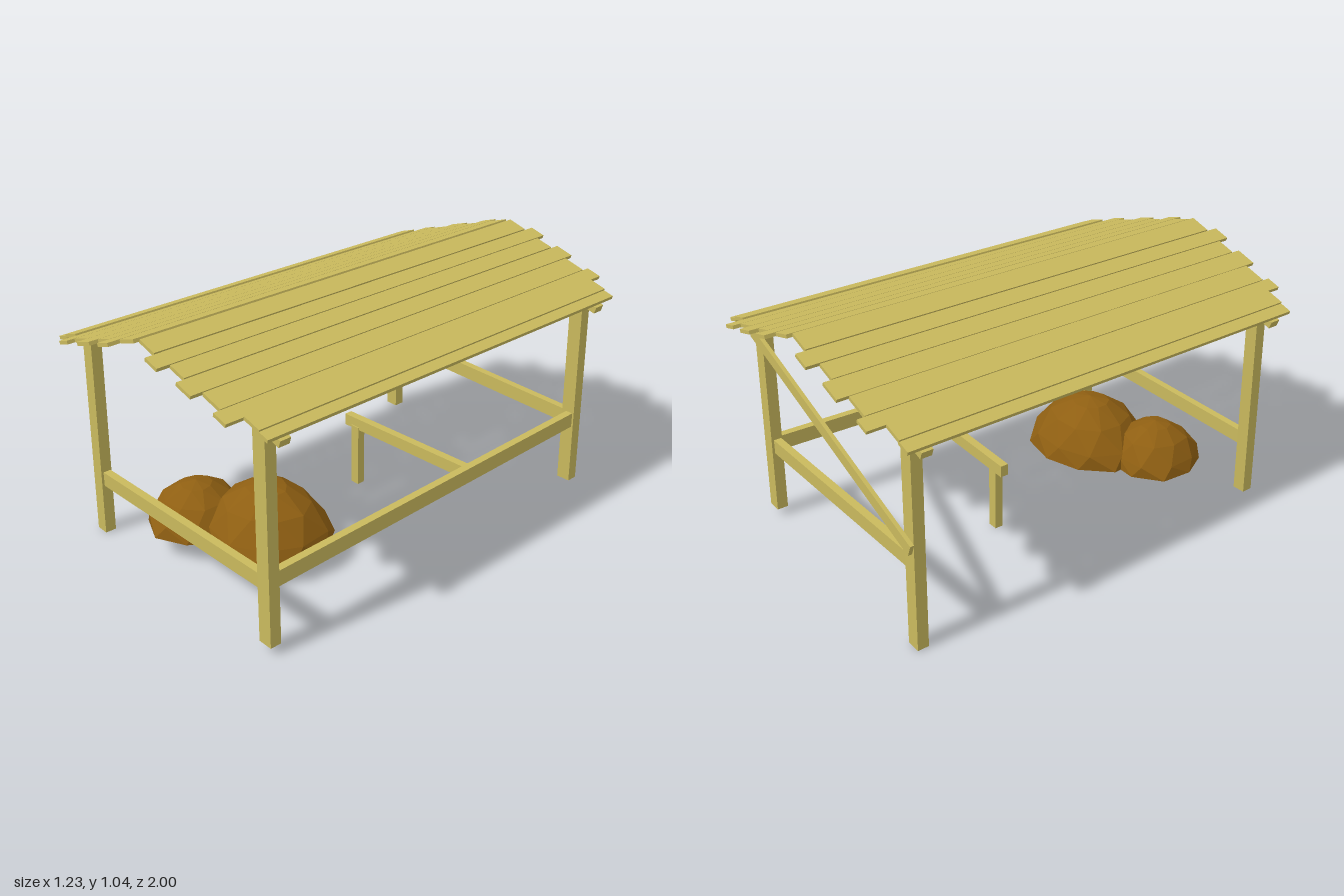
import * as THREE from 'three';

const wood = new THREE.MeshStandardMaterial({ color: 0xc9b95d, flatShading: true });
const rock = new THREE.MeshStandardMaterial({ color: 0x8f5f12, flatShading: true });

export function createModel() {
  const model = new THREE.Group();

  function add(name, geometry, material = wood) {
    const mesh = new THREE.Mesh(geometry, material);
    mesh.name = name;
    model.add(mesh);
    return mesh;
  }

  // Horizontal or sloping timber between two points
  function beam(name, a, b, width, height) {
    const from = new THREE.Vector3(...a), to = new THREE.Vector3(...b);
    const mesh = add(name, new THREE.BoxGeometry(width, height, from.distanceTo(to)));
    mesh.position.copy(from).lerp(to, 0.5);
    mesh.lookAt(to);
  }

  // Upright timber leaning slightly from foot to head
  function post(name, foot, head, width, depth) {
    const from = new THREE.Vector3(...foot), to = new THREE.Vector3(...head);
    const mesh = add(name, new THREE.BoxGeometry(width, from.distanceTo(to), depth));
    mesh.position.copy(from).lerp(to, 0.5);
    mesh.quaternion.setFromUnitVectors(new THREE.Vector3(0, 1, 0), to.sub(from).normalize());
  }

  // Corner posts
  post('frontRightPost', [-0.518, 0.003, 0.835], [-0.506, 0.84, 0.822], 0.055, 0.046);
  post('backRightPost', [-0.535, 0.003, -0.828], [-0.525, 0.835, -0.815], 0.058, 0.046);
  post('frontLeftPost', [0.53, 0.035, 0.835], [0.518, 0.868, 0.822], 0.062, 0.046);
  post('backLeftPost', [0.518, 0.035, -0.828], [0.512, 0.868, -0.815], 0.06, 0.046);

  // Rails and brace
  beam('frontRail', [-0.51, 0.249, 0.828], [0.515, 0.276, 0.828], 0.032, 0.061);
  beam('backRail', [-0.525, 0.35, -0.82], [0.515, 0.33, -0.82], 0.032, 0.061);
  beam('sideRail', [0.522, 0.285, 0.825], [0.522, 0.327, -0.815], 0.032, 0.063);
  beam('backBrace', [-0.555, 0.428, -0.853], [0.53, 0.832, -0.853], 0.016, 0.048);

  // Inner rail and its short leg
  beam('innerRail', [-0.163, 0.29, -0.172], [0.515, 0.315, -0.172], 0.034, 0.05);
  post('shortLeg', [-0.104, 0.002, -0.172], [-0.099, 0.28, -0.168], 0.042, 0.035);

  // Gable rafters
  const chevron = new THREE.Shape([
    [-0.615, 0.828], [-0.605, 0.8], [0, 1.0], [0.603, 0.833], [0.612, 0.86], [0, 1.03],
  ].map(([x, y]) => new THREE.Vector2(x, y)));
  for (const side of [1, -1]) {
    const geometry = new THREE.ExtrudeGeometry(chevron, { depth: 0.045, bevelEnabled: false });
    geometry.translate(0, 0, side * 0.81 - 0.0225);
    add(side > 0 ? 'frontRafter' : 'backRafter', geometry);
  }

  // Roof planks: x start, x end, back z, front z, lift
  const planks = [
    [-0.607, -0.555, -0.88, 0.9, 0], [-0.56, -0.485, -0.88, 0.9, 0.007],
    [-0.48, -0.423, -0.95, 0.97, 0], [-0.42, -0.326, -0.92, 0.94, 0],
    [-0.324, -0.239, -0.965, 0.985, 0], [-0.236, -0.16, -0.93, 0.95, 0],
    [-0.156, -0.088, -0.98, 1, 0], [-0.083, 0.003, -0.94, 0.955, 0],
    [0.008, 0.09, -0.96, 0.935, 0], [0.096, 0.161, -1, 0.975, 0],
    [0.165, 0.24, -0.955, 0.925, 0], [0.245, 0.322, -0.99, 0.96, 0],
    [0.326, 0.417, -0.945, 0.915, 0], [0.42, 0.482, -0.975, 0.945, 0],
    [0.486, 0.56, -0.905, 0.875, 0.007], [0.557, 0.602, -0.905, 0.875, 0],
  ];
  for (const [x0, x1, z0, z1, lift] of planks) {
    const x = (x0 + x1) / 2;
    const slope = x < 0 ? 0.328 : -0.278;
    const angle = Math.atan(slope);
    const mesh = add('roofPlank', new THREE.BoxGeometry((x1 - x0) / Math.cos(angle), 0.014, z1 - z0));
    mesh.position.set(x, 1.037 + slope * x + lift, (z0 + z1) / 2);
    mesh.rotation.z = angle;
  }

  // Faceted, flat-bottomed mounds
  function mound(name, [x, z], [rx, height, rz], sides, phase) {
    const profile = [[0, 0], [1, 0], [0.93, 0.28], [0.68, 0.66], [0.32, 0.92], [0, 1]];
    const geometry = new THREE.LatheGeometry(profile.map(([r, y]) => new THREE.Vector2(r, y)), sides);
    const p = geometry.attributes.position;
    for (let i = 0; i < p.count; i++) {
      const px = p.getX(i), py = p.getY(i), pz = p.getZ(i);
      const angle = Math.atan2(px, pz);
      const twist = py * 0.7;
      const bump = 1 + 0.04 * Math.sin(3 * angle + phase + py * 5) * (py < 1 ? 1 : 0);
      const r = Math.hypot(px, pz) * bump;
      p.setXYZ(i, r * Math.sin(angle + twist), py, r * Math.cos(angle + twist));
    }
    geometry.scale(rx, height, rz);
    add(name, geometry, rock).position.set(x, 0.093, z);
  }
  mound('largeMound', [0.06, 0.46], [0.268, 0.232, 0.242], 10, 0.5);
  mound('smallMound', [-0.205, 0.6], [0.198, 0.18, 0.2], 9, 2);

  return model;
}
